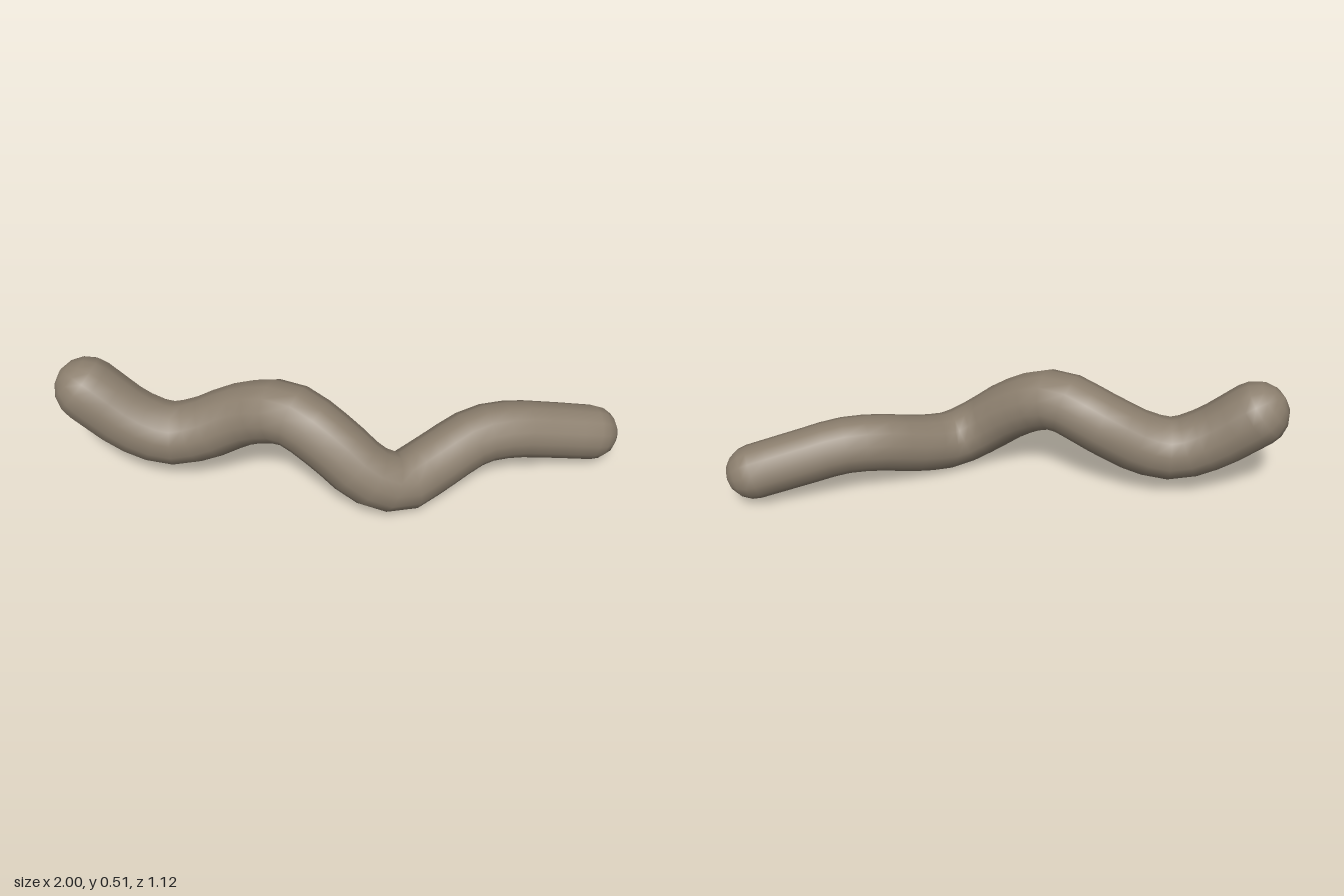
import * as THREE from 'three';

const SIDES = 14, SPANS = 30, CAP = 4;

// Tapered tube with domed ends, swept along a curve as one closed skin
function taperedTube(curve, r0, r1) {
  const frames = curve.computeFrenetFrames(SPANS, false);
  const pos = [], index = [];
  let rings = 0;
  const ring = (i, shift, radius) => {
    const c = curve.getPointAt(i / SPANS).addScaledVector(frames.tangents[i], shift);
    for (let j = 0; j < SIDES; j++) {
      const a = (j / SIDES) * Math.PI * 2;
      const p = c.clone()
        .addScaledVector(frames.normals[i], Math.cos(a) * radius)
        .addScaledVector(frames.binormals[i], Math.sin(a) * radius);
      pos.push(p.x, p.y, p.z);
    }
    rings++;
  };
  // start dome, body, end dome
  for (let k = 0; k < CAP; k++) {
    const a = ((k + 0.15) / CAP) * Math.PI / 2;
    ring(0, -Math.cos(a) * r0, Math.sin(a) * r0);
  }
  for (let i = 0; i <= SPANS; i++) ring(i, 0, THREE.MathUtils.lerp(r0, r1, i / SPANS));
  for (let k = CAP - 1; k >= 0; k--) {
    const a = ((k + 0.15) / CAP) * Math.PI / 2;
    ring(SPANS, Math.cos(a) * r1, Math.sin(a) * r1);
  }
  // skin between rings
  for (let i = 0; i < rings - 1; i++) {
    for (let j = 0; j < SIDES; j++) {
      const n = (j + 1) % SIDES;
      const a = i * SIDES + j, b = i * SIDES + n, c = a + SIDES, d = b + SIDES;
      index.push(a, b, c, b, d, c);
    }
  }
  // close the tips
  const last = (rings - 1) * SIDES;
  for (let j = 1; j < SIDES - 1; j++) {
    index.push(0, j + 1, j);
    index.push(last, last + j, last + j + 1);
  }
  const g = new THREE.BufferGeometry();
  g.setAttribute('position', new THREE.Float32BufferAttribute(pos, 3));
  g.setIndex(index);
  g.computeVertexNormals();
  return g;
}

export function createModel() {
  const group = new THREE.Group();
  group.name = 'worm';
  // centre line of the wavy body, from the raised thick end to the thin end
  const path = new THREE.CatmullRomCurve3([
    [-0.87, 0.39, 0.43], [-0.71, 0.26, 0.385], [-0.58, 0.207, 0.335], [-0.46, 0.235, 0.285],
    [-0.31, 0.315, 0.23], [-0.12, 0.373, 0.22], [0.05, 0.3, 0.22], [0.21, 0.175, 0.2],
    [0.31, 0.123, 0.13], [0.39, 0.15, 0.01], [0.51, 0.21, -0.15], [0.61, 0.215, -0.235],
    [0.73, 0.185, -0.33], [0.89, 0.14, -0.45],
  ].map(p => new THREE.Vector3(...p)));
  const body = new THREE.Mesh(
    taperedTube(path, 0.13, 0.11),
    new THREE.MeshStandardMaterial({ color: 0x8c7f6e })
  );
  body.name = 'body';
  group.add(body);
  return group;
}
